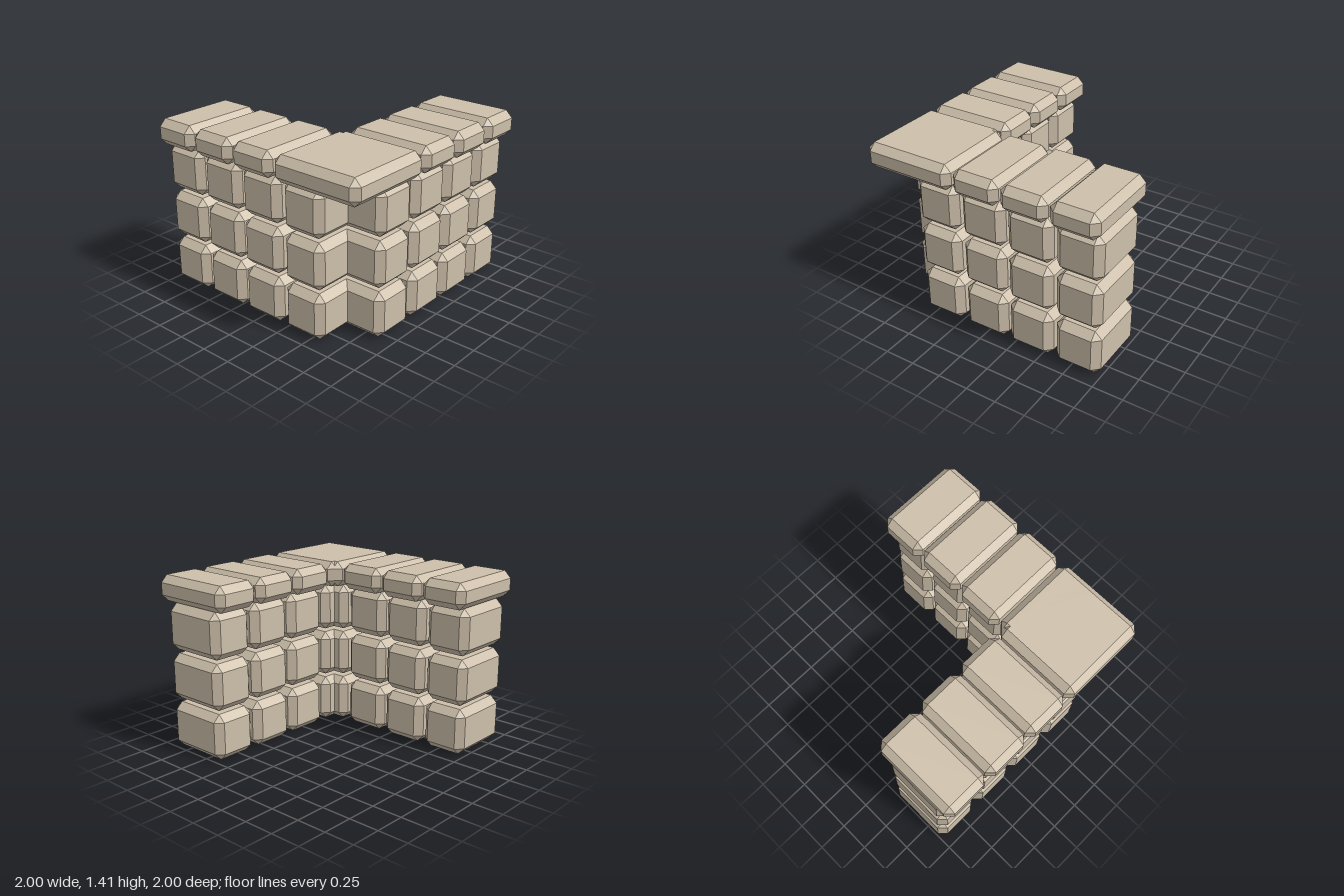
import * as THREE from 'three';
import { ConvexGeometry } from 'three/addons/geometries/ConvexGeometry.js';

const stone = new THREE.MeshStandardMaterial({ color: 0xcdbfaa });
stone.name = 'sandstone';

// Box with every edge and corner cut off, given by its min and max corners
function block(name, min, max, c) {
  const half = min.map((v, i) => (max[i] - v) / 2);
  const points = [];
  for (const sx of [-1, 1]) for (const sy of [-1, 1]) for (const sz of [-1, 1]) {
    for (let axis = 0; axis < 3; axis++) {
      const [x, y, z] = half.map((h, i) => (i === axis ? h : h - c));
      points.push(new THREE.Vector3(sx * x, sy * y, sz * z));
    }
  }
  const mesh = new THREE.Mesh(new ConvexGeometry(points), stone);
  mesh.position.set(...min.map((v, i) => (v + max[i]) / 2));
  mesh.name = name;
  return mesh;
}

export function createModel() {
  const model = new THREE.Group();
  model.name = 'cornerWall';

  // Spans along each arm, from the free end to the corner
  const wallSpans = [[-0.99, -0.61], [-0.585, -0.2], [-0.18, 0.205], [0.235, 0.61]];
  const capSpans = [[-1, -0.607], [-0.592, -0.2], [-0.185, 0.21]];
  const rows = [[0.005, 0.385], [0.415, 0.795], [0.825, 1.205]];
  const capY = [1.21, 1.42];

  // The two arms run along x and along z, crossing at the corner
  for (const alongX of [true, false]) {
    const arm = new THREE.Group();
    arm.name = alongX ? 'frontArm' : 'sideArm';
    const add = (name, span, y, depth, c) => {
      const [x, z] = alongX ? [span, depth] : [depth, span];
      arm.add(block(name, [x[0], y[0], z[0]], [x[1], y[1], z[1]], c));
    };
    for (const y of rows) {
      for (const span of wallSpans) add('wallBlock', span, y, [0.345, 0.915], 0.058);
    }
    for (const span of capSpans) add('capStone', span, capY, [0.262, 1], 0.056);
    model.add(arm);
  }

  // Corner cap with a small overlap piece on its inner side
  model.add(block('cornerCap', [0.228, capY[0], 0.262], [1, capY[1], 1], 0.056));
  model.add(block('cornerCapInner', [0.262, capY[0], 0.228], [1, capY[1], 0.61], 0.056));
  return model;
}
